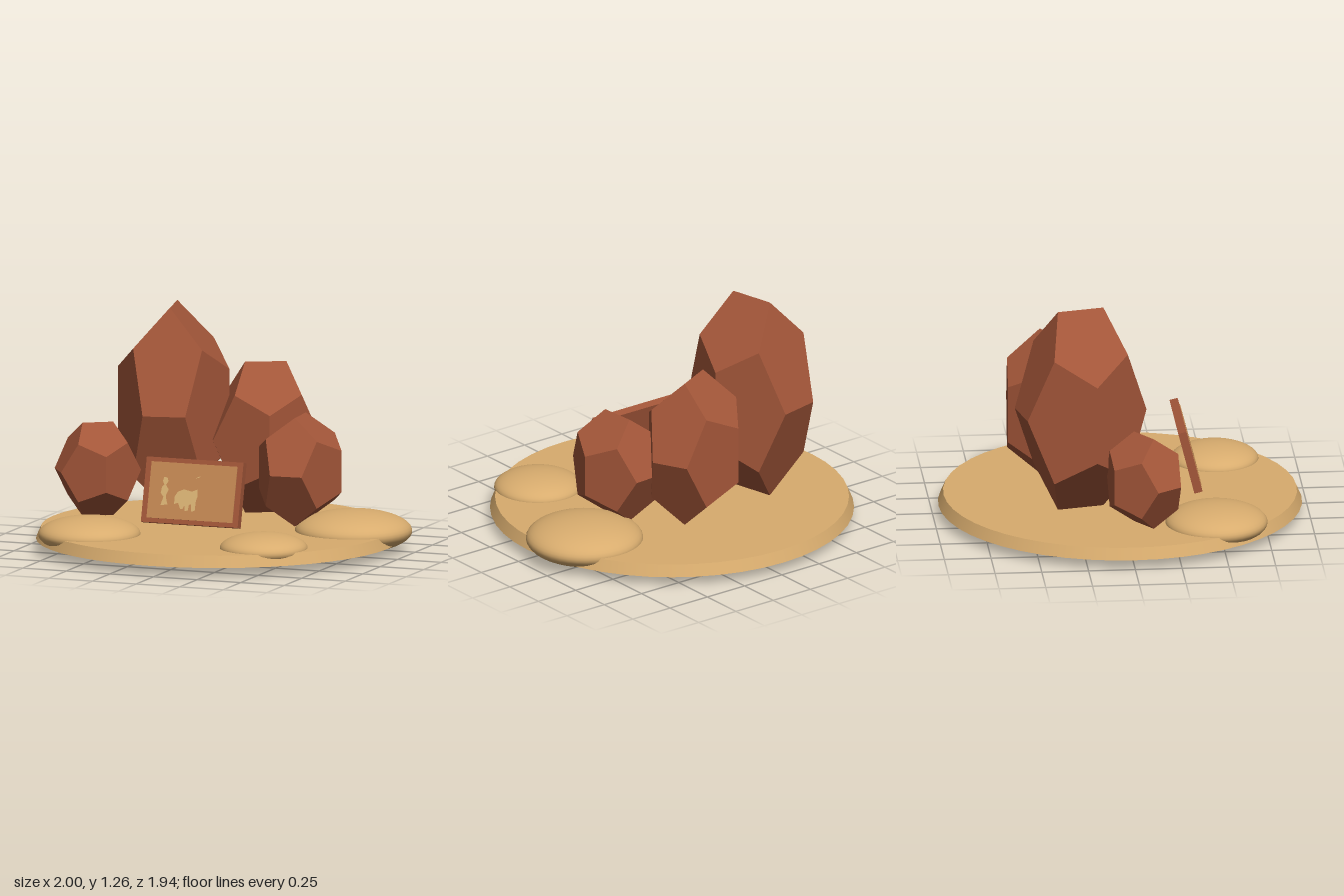
import * as THREE from 'three';

const mat = (name, color) => new THREE.MeshStandardMaterial({ name, color });

export function createModel() {
  const model = new THREE.Group();
  model.name = 'desertRocks';
  const sand = mat('sand', 0xd8ac6e);
  const stone = mat('redStone', 0xa35639);
  const panelFace = mat('panelFace', 0xc58853);
  const paint = mat('palePaint', 0xdcb475);

  const add = (parent, name, geometry, material, x = 0, y = 0, z = 0) => {
    const mesh = new THREE.Mesh(geometry, material);
    mesh.name = name;
    mesh.position.set(x, y, z);
    parent.add(mesh);
    return mesh;
  };

  // Sandy ground disc with a sloping rim
  add(model, 'groundDisc', new THREE.CylinderGeometry(0.943, 0.97, 0.062, 48), sand, -0.03, 0.083, 0);

  // Flattened dunes: x, z, radius
  [[-0.58, 0.468, 0.273], [0.682, -0.163, 0.313], [0.45, 0.545, 0.235]].forEach(([x, z, r], i) => {
    const dune = add(model, `dune${i + 1}`, new THREE.SphereGeometry(1, 40, 24), sand, x, 0.111, z);
    dune.scale.set(r, r * 0.355, r);
  });

  // Faceted boulders: name, centre, radii, turn
  [
    ['tallBoulder', [-0.38, 0.7, -0.24], [0.355, 0.596, 0.322], -1.35],
    ['backBoulder', [0.1, 0.55, -0.36], [0.31, 0.436, 0.283], 0.46],
    ['rightBoulder', [0.406, 0.435, -0.09], [0.274, 0.313, 0.247], -1.5],
    ['leftBoulder', [-0.69, 0.395, 0.072], [0.234, 0.27, 0.217], 0.6],
  ].forEach(([name, pos, radii, turn]) => {
    const rock = add(model, name, new THREE.DodecahedronGeometry(1, 0), stone, ...pos);
    rock.scale.set(...radii);
    rock.rotation.y = turn;
  });

  // Leaning painted panel
  const panel = new THREE.Group();
  panel.name = 'panel';
  panel.position.set(-0.028, 0.352, 0.353);
  panel.rotation.x = -0.25;
  model.add(panel);
  add(panel, 'panelSlab', new THREE.BoxGeometry(0.555, 0.35, 0.045), stone);
  add(panel, 'panelFace', new THREE.BoxGeometry(0.492, 0.302, 0.006), panelFace, 0, 0, 0.0235);

  // Rock art outlines, in hundredths of a unit
  const art = {
    paintedFigure: [[-16.5, 7], [-14.6, 7], [-13.8, 5], [-15, 3], [-13.3, 0.5], [-14.4, -2], [-14.6, -3.5],
      [-13.2, -7.5], [-17.2, -8], [-16, -3.5], [-17.7, -1.5], [-17.2, 2], [-16, 3], [-17, 5]],
    paintedAnimal: [[-9.5, -3], [-8, -0.3], [-4.5, 1.2], [0, 0.2], [3.2, 1.6], [3.6, -2], [2.8, -4.5], [2.6, -10],
      [0.5, -10.4], [0.2, -6.5], [-1, -7], [-1.3, -10], [-3.2, -10.4], [-3.6, -7.5], [-4.4, -9.5],
      [-5.8, -9.3], [-7.3, -6.2], [-9.5, -7]],
    paintedMark: [[1.5, 7.4], [3, 7.7], [4.5, 8.6], [3, 8.3]],
  };
  for (const [name, points] of Object.entries(art)) {
    const shape = new THREE.Shape(points.map(([x, y]) => new THREE.Vector2(x / 100, y / 100)));
    add(panel, name, new THREE.ShapeGeometry(shape), paint, 0, 0, 0.0285);
  }
  return model;
}
